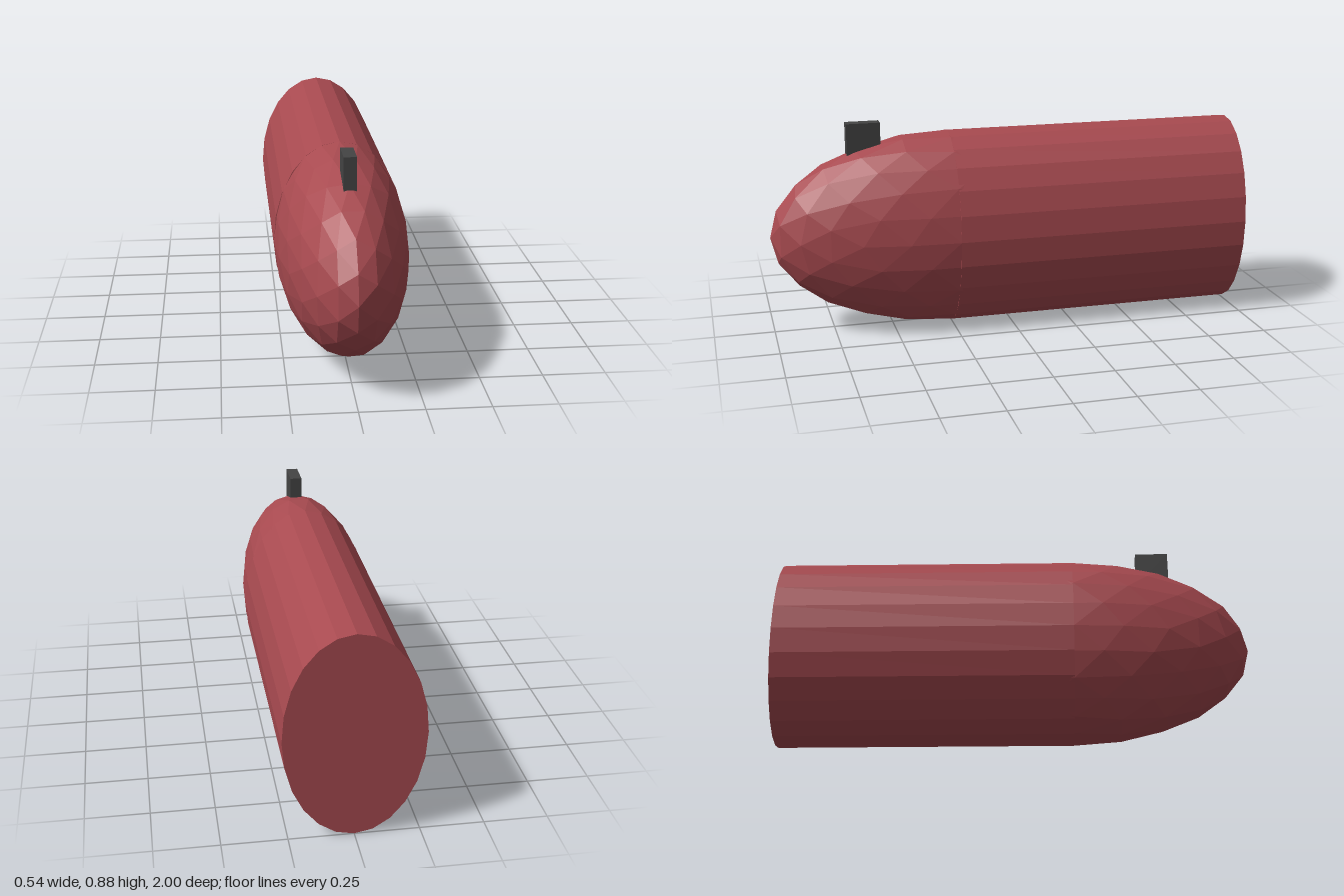
import * as THREE from 'three';

// Unit sphere made by halving every icosahedron edge along the surface
function geodesicSphere(levels) {
  const source = new THREE.IcosahedronGeometry(1, 0).getAttribute('position');
  let points = [];
  for (let i = 0; i < source.count; i++) points.push(new THREE.Vector3().fromBufferAttribute(source, i));
  const middle = (p, q) => p.clone().add(q).normalize();
  for (let level = 0; level < levels; level++) {
    const next = [];
    for (let i = 0; i < points.length; i += 3) {
      const [a, b, c] = points.slice(i, i + 3);
      const ab = middle(a, b), bc = middle(b, c), ca = middle(c, a);
      next.push(a, ab, ca, ab, b, bc, ca, bc, c, ab, bc, ca);
    }
    points = next;
  }
  const geometry = new THREE.BufferGeometry().setFromPoints(points);
  geometry.computeVertexNormals();
  return geometry;
}

export function createModel() {
  const group = new THREE.Group();
  const red = new THREE.MeshStandardMaterial({ color: 0xa84a50, flatShading: true });
  const dark = new THREE.MeshStandardMaterial({ color: 0x444444, flatShading: true });
  const halfWidth = 0.27, halfHeight = 0.414, centreY = 0.415;
  const seamZ = 0.25, noseLength = 0.75, bodyLength = 1.25;

  function add(name, geometry, material, x, y, z) {
    const mesh = new THREE.Mesh(geometry, material);
    mesh.name = name;
    mesh.position.set(x, y, z);
    group.add(mesh);
  }

  // Oval body with a flat back end
  const body = new THREE.CylinderGeometry(1, 1, bodyLength, 24);
  body.rotateX(Math.PI / 2);
  body.scale(halfWidth, halfHeight, 1);
  add('body', body, red, 0, centreY, seamZ - bodyLength / 2);

  // Faceted rounded nose, its rear half sunk into the body
  const nose = geodesicSphere(2);
  nose.scale(halfWidth, halfHeight, noseLength);
  add('nose', nose, red, 0, centreY, seamZ);

  // Small upright sight on top of the nose
  add('frontSight', new THREE.BoxGeometry(0.05, 0.16, 0.14), dark, 0, 0.8, 0.605);

  return group;
}
